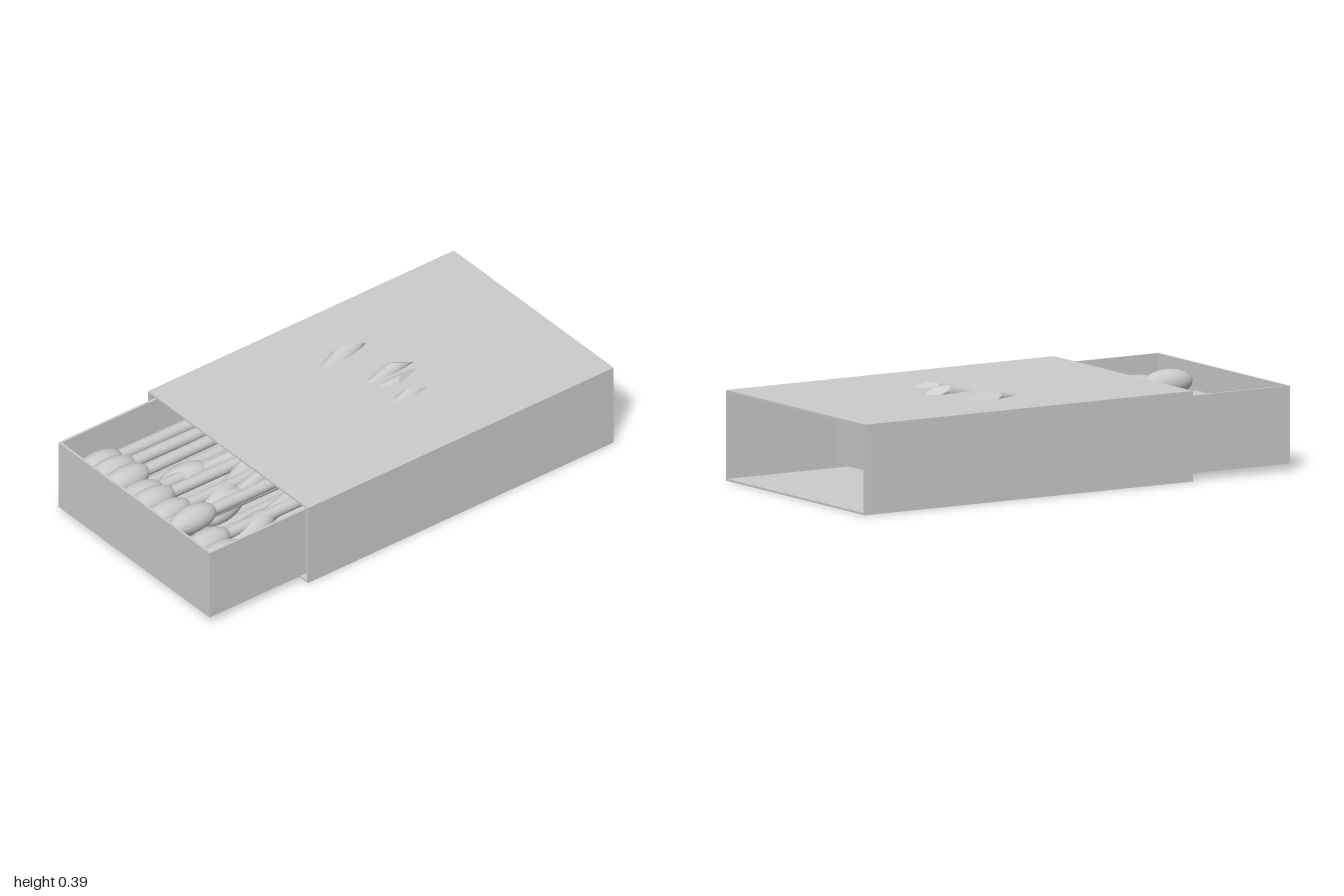
import * as THREE from 'three';

const material = new THREE.MeshStandardMaterial({ color: 0xcccccc });
const STRETCH = 3.5; // sticks are sheared lengthwise, which slants their cut ends

function add(parent, name, geometry, x = 0, y = 0, z = 0) {
  const mesh = new THREE.Mesh(geometry, material);
  mesh.name = name;
  mesh.position.set(x, y, z);
  parent.add(mesh);
  return mesh;
}

function rectangle(path, w, y0, y1) {
  path.moveTo(-w, y0);
  path.lineTo(w, y0);
  path.lineTo(w, y1);
  path.lineTo(-w, y1);
  path.closePath();
  return path;
}

// Open-ended sleeve: a thin rectangular tube along x
function buildSleeve() {
  const shape = rectangle(new THREE.Shape(), 0.505, 0, 0.36);
  shape.holes.push(rectangle(new THREE.Path(), 0.495, 0.008, 0.352));
  const geometry = new THREE.ExtrudeGeometry(shape, { depth: 1.53, bevelEnabled: false });
  geometry.rotateY(Math.PI / 2).translate(-0.53, 0, 0);
  return geometry;
}

// Open tray made of thin card panels
function buildTray() {
  const tray = new THREE.Group();
  tray.name = 'tray';
  const x0 = -1, x1 = 0.5, y0 = 0.027, y1 = 0.336, w = 0.478, t = 0.01;
  const midX = (x0 + x1) / 2, midY = (y0 + y1) / 2, h = y1 - y0, len = x1 - x0;
  add(tray, 'trayFloor', new THREE.BoxGeometry(len, t, w * 2), midX, y0 + t / 2, 0);
  for (const s of [-1, 1]) {
    add(tray, 'traySide', new THREE.BoxGeometry(len, h, t), midX, midY, s * (w - t / 2));
    add(tray, 'trayEnd', new THREE.BoxGeometry(t, h, w * 2), s < 0 ? x0 + t / 2 : x1 - t / 2, midY, 0);
  }
  return tray;
}

// One match: round stick from head to tip, with an egg-shaped head
function buildMatch(head, tip) {
  const match = new THREE.Group();
  match.name = 'match';
  const a = new THREE.Vector3(...head), b = new THREE.Vector3(...tip);
  const direction = b.clone().sub(a);
  const yaw = Math.atan2(-direction.z, direction.x);
  const pitch = Math.atan2(direction.y, Math.hypot(direction.x, direction.z));
  a.x /= STRETCH;
  b.x /= STRETCH;
  const axis = b.clone().sub(a);
  const stick = new THREE.CylinderGeometry(0.025, 0.025, axis.length(), 12);
  stick.applyQuaternion(new THREE.Quaternion().setFromUnitVectors(
    new THREE.Vector3(0, 1, 0), axis.clone().normalize()));
  const mid = a.add(b).multiplyScalar(0.5);
  stick.translate(mid.x, mid.y, mid.z).scale(STRETCH, 1, 1);
  add(match, 'matchStick', stick);
  const ball = new THREE.SphereGeometry(0.055, 20, 14).rotateZ(Math.PI / 2);
  ball.scale(2.05, 1, 1);
  add(match, 'matchHead', ball, ...head).rotation.set(0, yaw, pitch, 'YZX');
  return match;
}

export function createModel() {
  const model = new THREE.Group();
  model.name = 'matchbox';
  add(model, 'sleeve', buildSleeve());
  model.add(buildTray());

  const matches = new THREE.Group();
  matches.name = 'matches';
  model.add(matches);

  // Upper row: [z, y]
  const upper = [[-0.41, 0.2], [-0.33, 0.215], [-0.24, 0.225], [-0.155, 0.195], [-0.08, 0.21],
    [0.02, 0.205], [0.1, 0.19], [0.18, 0.27], [0.27, 0.205], [0.35, 0.19], [0.415, 0.215]];
  upper.forEach(([z, y], i) => matches.add(
    buildMatch([-0.85, y, z], [0.38, y - 0.01, z + 0.015 * Math.sin(i * 2.3)])));

  // Lower row resting on the floor
  for (let i = 0; i < 9; i++) {
    const z = -0.41 + i * 0.1025;
    matches.add(buildMatch([-0.85, 0.095, z], [0.38, 0.085, z]));
  }

  // Loose tilted matches whose tips pierce the sleeve's top
  const loose = [
    [[-0.61, 0.17, 0.04], [0.27, 0.368, -0.24]],
    [[-0.61, 0.16, 0.07], [0.36, 0.37, -0.03]],
    [[-0.62, 0.17, -0.17], [0.34, 0.357, 0.05]],
    [[-0.62, 0.17, 0.27], [0.31, 0.357, 0.135]],
  ];
  for (const [head, tip] of loose) matches.add(buildMatch(head, tip));
  return model;
}
